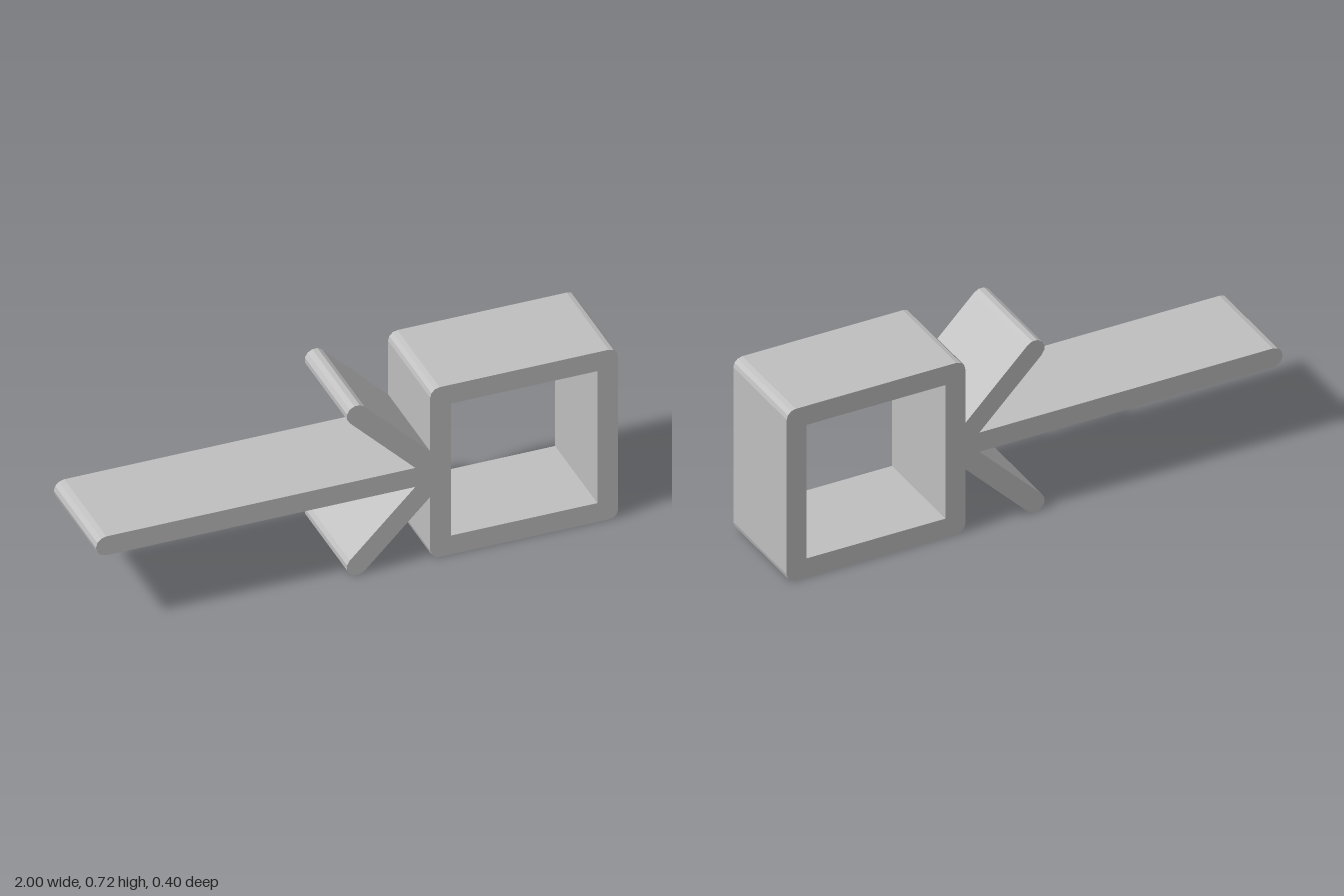
import * as THREE from 'three';

const DEPTH = 0.4;
const HALF = 0.04; // half the wall thickness

// Points of a faceted arc
function arc(cx, cy, r, from, to, steps) {
  const pts = [];
  for (let i = 0; i <= steps; i++) {
    const a = from + ((to - from) * i) / steps;
    pts.push(new THREE.Vector2(cx + r * Math.cos(a), cy + r * Math.sin(a)));
  }
  return pts;
}

function extrude(name, points, material, hole) {
  const shape = new THREE.Shape(points);
  if (hole) shape.holes.push(new THREE.Path(hole));
  const geometry = new THREE.ExtrudeGeometry(shape, { depth: DEPTH, bevelEnabled: false });
  geometry.translate(0, 0, -DEPTH / 2);
  const mesh = new THREE.Mesh(geometry, material);
  mesh.name = name;
  return mesh;
}

export function createModel() {
  const group = new THREE.Group();
  group.name = 'profileClip';
  const grey = new THREE.MeshStandardMaterial({ color: 0xc0c0c0 });
  grey.name = 'lightGrey';
  const v = (x, y) => new THREE.Vector2(x, y);

  // Square tube with softened outer corners and a sharp inner opening
  const r = 0.036;
  const q = Math.PI / 2;
  const outer = [[1 - r, 0.72 - r], [0.28 + r, 0.72 - r], [0.28 + r, r], [1 - r, r]]
    .flatMap(([x, y], i) => arc(x, y, r, i * q, (i + 1) * q, 3));
  const opening = [v(0.36, 0.08), v(0.36, 0.64), v(0.92, 0.64), v(0.92, 0.08)];
  group.add(extrude('squareFrame', outer, grey, opening));

  // Long flat tongue with a rounded tip
  const tongue = [...arc(-1 + HALF, 0.36, HALF, q, 3 * q, 6), v(0.28, 0.32), v(0.28, 0.4)];
  group.add(extrude('longTongue', tongue, grey));

  // Slanted barbs, cut to meet the tongue and the frame
  const d = HALF * Math.SQRT2;
  const barb = [
    ...arc(0, 0.68, HALF, Math.PI / 4, Math.PI * 1.25, 6),
    v(0.28 - d, 0.4), v(0.28, 0.4), v(0.28, 0.4 + d),
  ];
  group.add(extrude('upperBarb', barb, grey));
  group.add(extrude('lowerBarb', barb.map((p) => v(p.x, 0.72 - p.y)).reverse(), grey));

  return group;
}
